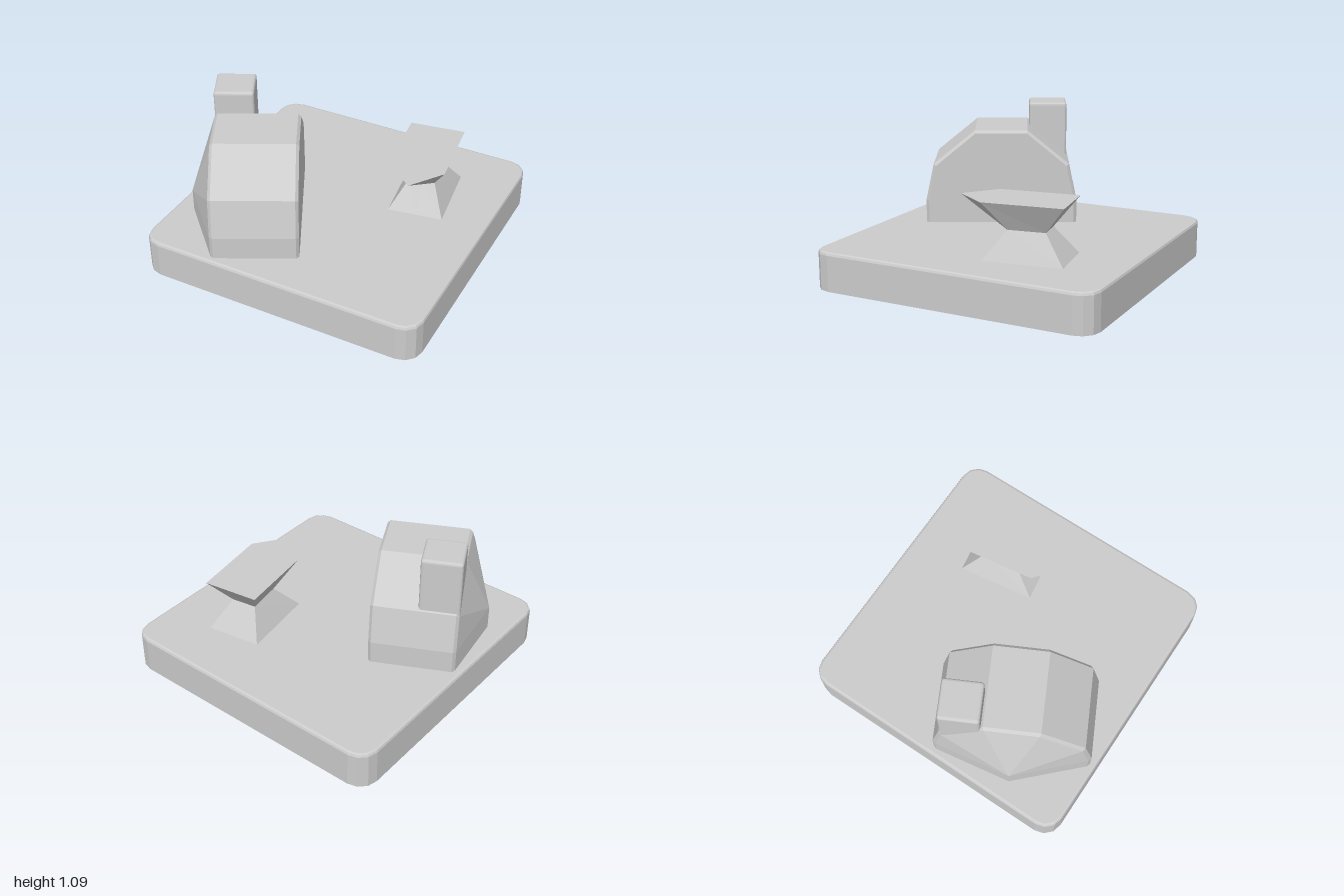
import * as THREE from 'three';
import { ConvexGeometry } from 'three/addons/geometries/ConvexGeometry.js';
import { RoundedBoxGeometry } from 'three/addons/geometries/RoundedBoxGeometry.js';

const grey = new THREE.MeshStandardMaterial({ color: 0xcccccc, flatShading: true });

function part(name, geometry) {
  const mesh = new THREE.Mesh(geometry, grey);
  mesh.name = name;
  return mesh;
}

// Closed solid through horizontal rings, listed bottom to top.
// Each ring is a list of [x, z], running from +x towards +z.
function loft(rings, heights) {
  const n = rings[0].length;
  const pos = [], index = [];
  rings.forEach((ring, k) => ring.forEach(([x, z]) => pos.push(x, heights[k], z)));
  for (let k = 0; k < rings.length - 1; k++) {
    for (let i = 0; i < n; i++) {
      const a = k * n + i, b = k * n + (i + 1) % n;
      index.push(a, b + n, b, a, a + n, b + n);
    }
  }
  const top = (rings.length - 1) * n;
  for (let i = 1; i < n - 1; i++) {
    index.push(0, i, i + 1, top, top + i + 1, top + i);
  }
  const g = new THREE.BufferGeometry();
  g.setAttribute('position', new THREE.Float32BufferAttribute(pos, 3));
  g.setIndex(index);
  const flat = g.toNonIndexed();
  flat.computeVertexNormals();
  return flat;
}

// Square outline with three-facet rounded corners
function roundedSquare(half, radius) {
  const points = [];
  for (let c = 0; c < 4; c++) {
    const mid = (c + 0.5) * Math.PI / 2;
    const cx = Math.sign(Math.cos(mid)) * (half - radius);
    const cz = Math.sign(Math.sin(mid)) * (half - radius);
    for (let s = 0; s <= 3; s++) {
      const a = (c + s / 3) * Math.PI / 2;
      points.push([cx + radius * Math.cos(a), cz + radius * Math.sin(a)]);
    }
  }
  return points;
}

// Thick plinth with softened top rim and a very shallow convex underside
function makeBase() {
  const rings = [
    roundedSquare(0.12, 0.015), roundedSquare(1, 0.13), roundedSquare(1, 0.13),
    roundedSquare(0.994, 0.125), roundedSquare(0.98, 0.11),
  ];
  return part('base', loft(rings, [0, 0.015, 0.26, 0.274, 0.28]));
}

// Faceted hut: bevelled gambrel profile with a pointed bulge on one side
function makeHut() {
  const hut = new THREE.Group();
  hut.name = 'hut';
  const halfWidth = 0.29, bevel = 0.02;
  const profile = [[0.533, 0.26], [0.533, 0.44], [0.478, 0.7], [0.185, 0.94]];
  const inner = [[0.513, 0.26], [0.513, 0.437], [0.461, 0.688], [0.178, 0.922]];
  const points = [];
  for (const side of [-1, 1]) {
    for (const end of [-1, 1]) {
      for (const [z, y] of profile) points.push(new THREE.Vector3(side * (halfWidth - bevel), y, end * z));
      for (const [z, y] of inner) points.push(new THREE.Vector3(side * halfWidth, y, end * z));
    }
  }
  for (const y of [0.26, 0.44]) points.push(new THREE.Vector3(-0.454, y, 0));
  hut.add(part('hutBody', new ConvexGeometry(points)));

  // Chimney rising from the rear roof slope
  const chimney = part('chimney', new RoundedBoxGeometry(0.27, 0.44, 0.27, 2, 0.02));
  chimney.position.set(-0.157, 0.87, -0.333);
  hut.add(chimney);

  hut.position.set(-0.458, 0, 0.36);
  hut.rotation.y = 0.472;
  return hut;
}

// Waisted pedestal with a pointed five-sided top
function makePedestal() {
  const foot = [[0.24, -0.58], [0.62, -0.64], [0.70, -0.10], [0.51, -0.07], [0.32, -0.04]];
  const waist = [[0.365, -0.45], [0.54, -0.48], [0.58, -0.23], [0.50, -0.22], [0.405, -0.215]];
  const top = [[0.24, -0.58], [0.62, -0.64], [0.70, -0.10], [0.54, 0.13], [0.32, -0.04]];
  return part('pedestal', loft([foot, waist, top], [0.275, 0.47, 0.66]));
}

export function createModel() {
  const model = new THREE.Group();
  model.name = 'hutOnPlinth';
  model.add(makeBase(), makeHut(), makePedestal());
  return model;
}
